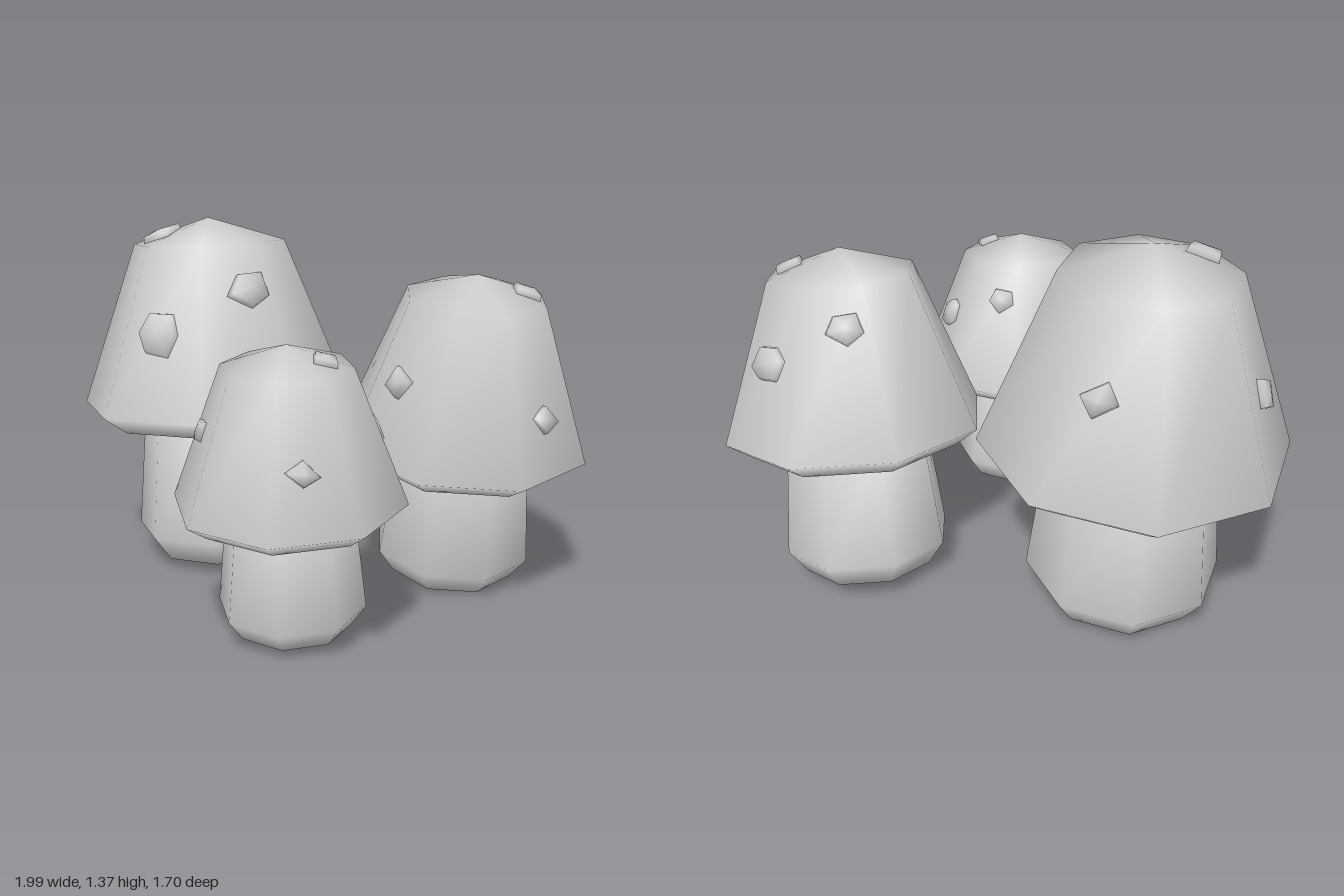
import * as THREE from 'three';

const SIDES = 8;
const UP = new THREE.Vector3(0, 1, 0);
const grey = new THREE.MeshStandardMaterial({ color: 0xcccccc });
grey.name = 'grey';

// Closed, smooth-shaded surface from [radius, height] rings, bottom to top; radius 0 is a pole
function ringSolid(profile, sides, phase, wobble = () => 1) {
  const pos = [], index = [], start = [];
  for (const [r, y] of profile) {
    start.push(pos.length / 3);
    for (let j = 0; j < (r === 0 ? 1 : sides); j++) {
      const a = phase + (j / sides) * Math.PI * 2, q = r * wobble(j);
      pos.push(q * Math.cos(a), y, q * Math.sin(a));
    }
  }
  const at = (i, j) => start[i] + (profile[i][0] === 0 ? 0 : j % sides);
  for (let i = 0; i < profile.length - 1; i++) {
    for (let j = 0; j < sides; j++) {
      const a = at(i, j), b = at(i, j + 1), c = at(i + 1, j), d = at(i + 1, j + 1);
      if (a !== b) index.push(a, c, b);
      if (c !== d) index.push(b, c, d);
    }
  }
  const g = new THREE.BufferGeometry();
  g.setAttribute('position', new THREE.Float32BufferAttribute(pos, 3));
  g.setIndex(index);
  g.computeVertexNormals();
  return g;
}

// Unit profiles, with the widest rim of the cap at height 0
const RIM = 0.535, SHOULDER = 0.297, SHOULDER_Y = 0.625, APEX_Y = 0.72;
const capProfile = [[0, -0.07], [0.44, -0.07], [RIM, 0], [SHOULDER, SHOULDER_Y], [0, APEX_Y]];
const stemProfile = [[0, -0.62], [0.275, -0.615], [0.345, -0.515], [0.295, -0.05], [0, 0]];

// Angular raised spot lying on the cap at an angle and a height
function makeSpot([deg, h, size, sides, stretch], phase, k) {
  const a = THREE.MathUtils.degToRad(deg);
  const onTop = h > SHOULDER_Y;
  const r = onTop
    ? SHOULDER * (APEX_Y - h) / (APEX_Y - SHOULDER_Y)
    : THREE.MathUtils.lerp(RIM, SHOULDER, h / SHOULDER_Y);
  // follow the flat facet between two corners
  const step = (Math.PI * 2) / SIDES;
  const off = THREE.MathUtils.euclideanModulo(a - phase, step) - step / 2;
  const facet = Math.cos(step / 2) / Math.cos(off);
  const slope = onTop ? [0.305, 0.952] : [0.933, 0.358];
  const normal = new THREE.Vector3(slope[0] * Math.cos(a), slope[1], slope[0] * Math.sin(a)).normalize();
  const geo = ringSolid(
    [[0, -0.03], [size, -0.03], [size * 0.85, 0.022], [0, 0.03]],
    sides, 0.4 + k, j => 1 + 0.14 * Math.sin(j * 2.3 + k * 1.7)
  );
  const spot = new THREE.Mesh(geo, grey);
  spot.name = 'spot';
  spot.scale.set(1, 1, stretch);
  spot.position.set(r * facet * Math.cos(a), h, r * facet * Math.sin(a));
  spot.quaternion.setFromUnitVectors(UP, normal);
  return spot;
}

function makeMushroom({ name, at, lean, scale, turn, spots }) {
  const group = new THREE.Group();
  group.name = name;
  const phase = THREE.MathUtils.degToRad(turn);
  const cap = new THREE.Mesh(ringSolid(capProfile, SIDES, phase), grey);
  cap.name = 'cap';
  const stem = new THREE.Mesh(ringSolid(stemProfile, SIDES, phase), grey);
  stem.name = 'stem';
  group.add(cap, stem, ...spots.map((s, k) => makeSpot(s, phase, k)));
  group.position.set(...at);
  group.quaternion.setFromUnitVectors(UP, new THREE.Vector3(lean[0], 1, lean[1]).normalize());
  group.scale.setScalar(scale);
  return group;
}

// Each spot: angle in degrees, height, radius, sides, stretch
const mushrooms = [
  {
    name: 'largeMushroom', at: [-0.48, 0.65, -0.33], lean: [-0.04, -0.01], scale: 1, turn: -13,
    spots: [
      [-75, 0.35, 0.075, 4, 0.8], [192, 0.28, 0.075, 4, 0.8], [146, 0.655, 0.085, 4, 1],
      [45, 0.46, 0.09, 5, 0.9], [101, 0.31, 0.1, 6, 0.95],
    ],
  },
  {
    name: 'mediumMushroom', at: [0.525, 0.575, -0.25], lean: [0.09, 0.165], scale: 0.88, turn: 10,
    spots: [
      [-12, 0.652, 0.08, 4, 0.9], [-57, 0.34, 0.1, 6, 0.8], [35, 0.227, 0.075, 4, 0.85],
      [128, 0.32, 0.08, 4, 0.9], [251, 0.48, 0.085, 5, 0.8],
    ],
  },
  {
    name: 'smallMushroom', at: [0.055, 0.5, 0.455], lean: [0.01, 0.1], scale: 0.74, turn: -6.5,
    spots: [
      [6, 0.66, 0.08, 4, 0.85], [-30, 0.32, 0.1, 6, 0.8], [-84, 0.46, 0.085, 5, 0.8],
      [160, 0.34, 0.075, 4, 0.85], [65, 0.27, 0.08, 4, 0.8],
    ],
  },
];

export function createModel() {
  const model = new THREE.Group();
  model.name = 'mushroomCluster';
  for (const m of mushrooms) model.add(makeMushroom(m));
  return model;
}
